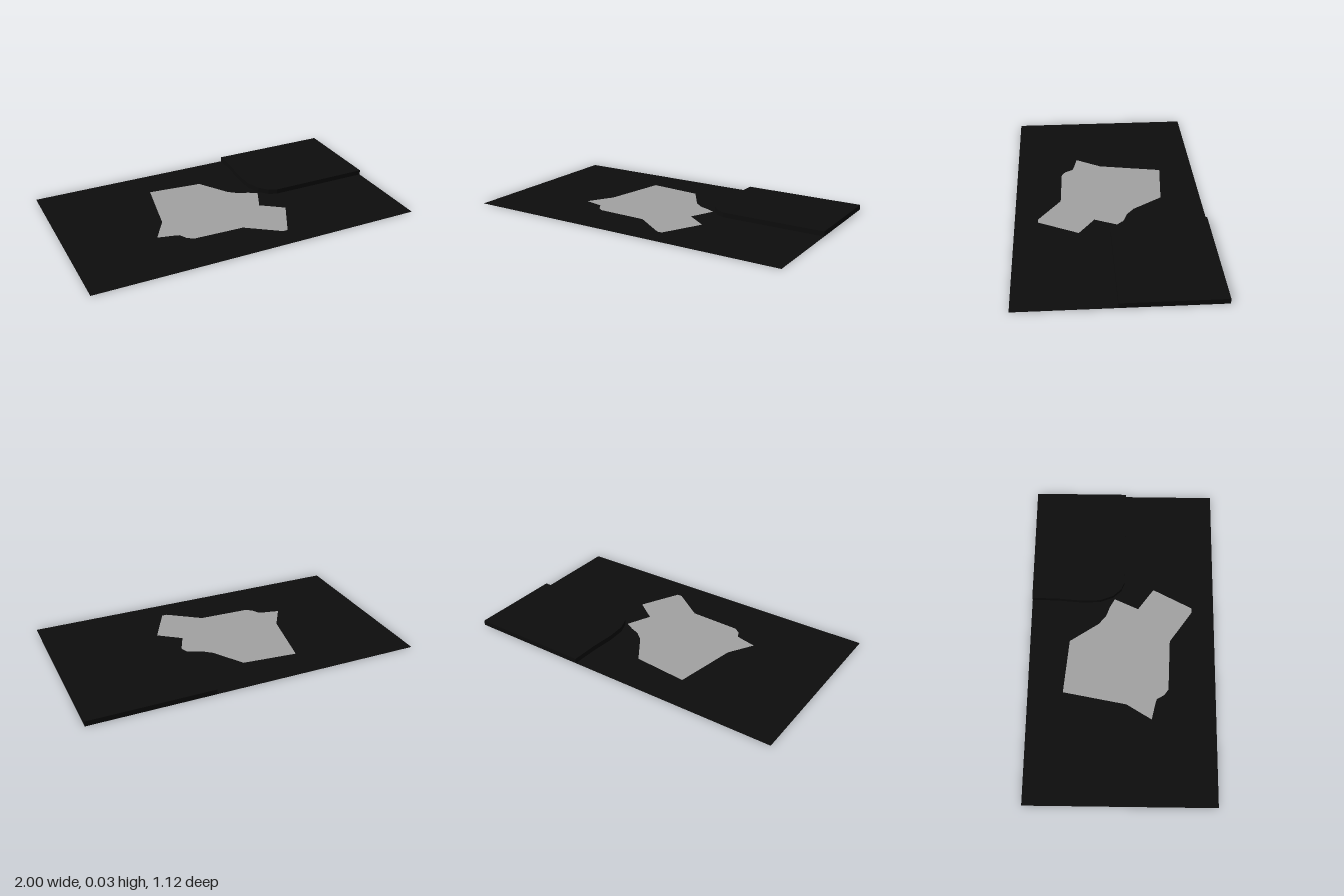
import * as THREE from 'three';

// Flat horizontal surface from [x, z] outline, with optional hole
function flat(outline, hole) {
  const toV = (pts) => pts.map(([x, z]) => new THREE.Vector2(x, -z));
  const shape = new THREE.Shape(toV(outline));
  if (hole) shape.holes.push(new THREE.Path(toV(hole)));
  return new THREE.ShapeGeometry(shape).rotateX(-Math.PI / 2);
}

// Vertical band following a closed [x, z] outline
function wall(outline, height) {
  const pos = [];
  outline.forEach(([x0, z0], i) => {
    const [x1, z1] = outline[(i + 1) % outline.length];
    pos.push(x0, 0, z0, x1, 0, z1, x1, height, z1);
    pos.push(x0, 0, z0, x1, height, z1, x0, height, z0);
  });
  const g = new THREE.BufferGeometry();
  g.setAttribute('position', new THREE.Float32BufferAttribute(pos, 3));
  g.computeVertexNormals();
  return g;
}

export function createModel() {
  const black = new THREE.MeshStandardMaterial({ color: 0x0d0d0d, side: THREE.DoubleSide });
  black.name = 'black';
  const grey = new THREE.MeshStandardMaterial({ color: 0xa2a2a2, side: THREE.DoubleSide });
  grey.name = 'grey';

  const X = 1, Z = 0.56, H = 0.03;
  // Irregular pale patch
  const patch = [
    [-0.33, -0.35], [-0.005, -0.32], [0.11, -0.145], [0.165, -0.1], [0.22, -0.08], [0.275, -0.05],
    [0.235, 0.04], [0.21, 0.095], [0.34, 0.19], [0.22, 0.425], [0.19, 0.425], [0, 0.29],
    [-0.305, 0.28], [-0.34, 0.255], [-0.365, 0.21], [-0.4, 0.2], [-0.49, 0.18], [-0.4, 0.03],
  ];
  // Inner edge of the raised corner, from the back edge round to the right-hand edge
  const step = [
    [0.265, -Z], [0.262, -0.4], [0.25, -0.25], [0.255, -0.14], [0.285, -0.06], [0.33, -0.01], [0.38, 0.01], [X, 0.01],
  ];
  const raised = [...step, [X, -Z]];
  const ground = [[-X, -Z], ...step, [X, Z], [-X, Z]];

  const model = new THREE.Group();
  const add = (name, geometry, material) => {
    const mesh = new THREE.Mesh(geometry, material);
    mesh.name = name;
    model.add(mesh);
    return mesh;
  };
  add('ground', flat(ground, patch), black);
  add('patch', flat(patch), grey);
  // Raised corner: open underneath
  add('raisedTop', flat(raised), black).position.y = H;
  add('raisedWalls', wall(raised, H), black);
  return model;
}
